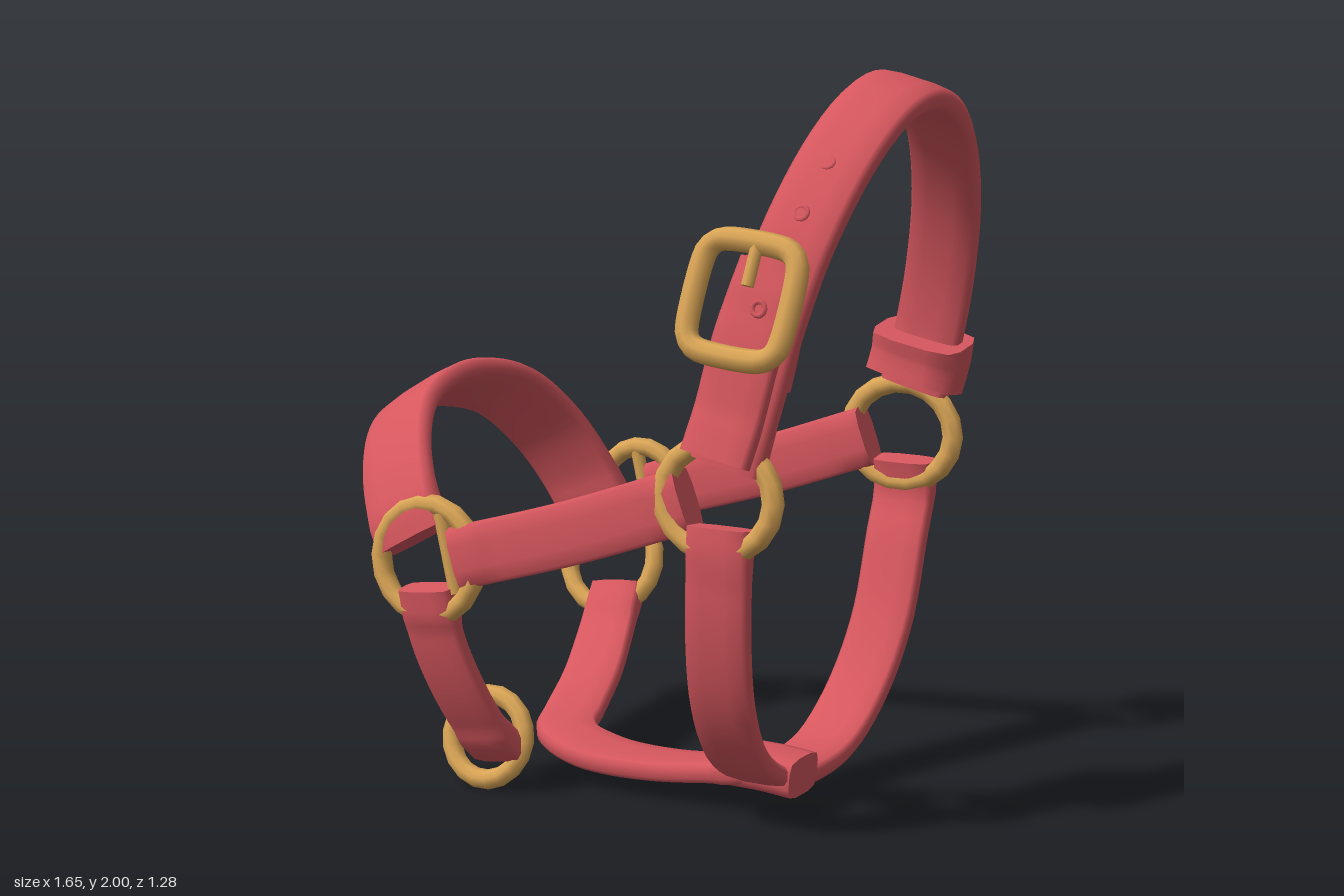
import * as THREE from 'three';

const V = (p) => new THREE.Vector3(...p);

// Soft strap swept along a path: width direction blends from wa to wb, ends are folded thicker
function strapGeometry(points, wa, wb, width, thick, fold = 0.5, steps = 28) {
  const curve = new THREE.CatmullRomCurve3(points.map(V), false, 'centripetal');
  const length = curve.getLength();
  const section = [[0.5, 0.2], [0.44, 0.42], [0.2, 0.5], [-0.2, 0.5], [-0.44, 0.42], [-0.5, 0.2],
    [-0.5, -0.2], [-0.44, -0.42], [-0.2, -0.5], [0.2, -0.5], [0.44, -0.42], [0.5, -0.2]];
  const K = section.length, pos = [], index = [];
  const rows = [];
  for (let i = 0; i <= steps; i++) {
    const u = i / steps;
    const c = curve.getPointAt(u), T = curve.getTangentAt(u);
    const W = V(wa).lerp(V(wb), u);
    W.addScaledVector(T, -W.dot(T)).normalize();
    const N = T.clone().cross(W);
    const d = Math.min(u, 1 - u) * length;
    const t = thick * (1 + fold * THREE.MathUtils.smoothstep(0.13 - d, 0, 0.06));
    rows.push(section.map(([a, b]) => c.clone().addScaledVector(W, a * width).addScaledVector(N, b * t)));
  }
  rows.forEach((row) => row.forEach((p) => pos.push(p.x, p.y, p.z)));
  for (let i = 0; i < steps; i++) {
    for (let j = 0; j < K; j++) {
      const a = i * K + j, b = i * K + (j + 1) % K;
      index.push(a, b, a + K, b, b + K, a + K);
    }
  }
  // flat end caps
  for (const end of [0, steps]) {
    const base = pos.length / 3;
    rows[end].forEach((p) => pos.push(p.x, p.y, p.z));
    for (let j = 1; j < K - 1; j++) {
      if (end) index.push(base, base + j, base + j + 1);
      else index.push(base, base + j + 1, base + j);
    }
  }
  const g = new THREE.BufferGeometry();
  g.setAttribute('position', new THREE.Float32BufferAttribute(pos, 3));
  g.setIndex(index);
  g.computeVertexNormals();
  return g;
}

export function createModel() {
  const model = new THREE.Group();
  model.name = 'halter';
  const red = new THREE.MeshStandardMaterial({ name: 'red webbing', color: 0xd6575e });
  const gold = new THREE.MeshStandardMaterial({ name: 'brass', color: 0xdaa556 });

  const add = (name, geometry, material, parent = model) => {
    const m = new THREE.Mesh(geometry, material);
    m.name = name;
    parent.add(m);
    return m;
  };
  const strap = (name, ...args) => add(name, strapGeometry(...args), red);
  const ring = (name, p, radius, rx = 0, stretch = 1) => {
    const m = add(name, new THREE.TorusGeometry(radius, 0.028, 8, 18), gold);
    m.position.set(...p);
    m.rotation.x = rx;
    m.scale.x = stretch;
  };

  // Crown strap, an arch leaning towards +x
  const lean = (y) => 0.5 + 0.25 * (y - 1.05);
  const across = [0.97, -0.25, 0];
  const arch = [[1.02, 0.53], [1.2, 0.515], [1.4, 0.49], [1.6, 0.43], [1.8, 0.295], [1.908, 0.15], [1.942, 0],
    [1.908, -0.15], [1.805, -0.3], [1.62, -0.44], [1.4, -0.525], [1.2, -0.555], [1.07, -0.55]];
  strap('crownStrap', arch.map(([y, z]) => [lean(y), y, z]), across, across, 0.2, 0.07, 0.2, 48);
  strap('crownTail', [[0.5, 1.05, 0.61], [0.52, 1.15, 0.58], [0.56, 1.35, 0.545], [0.6, 1.53, 0.48]],
    across, across, 0.19, 0.05, 0.2);
  strap('buckleFold', [[0.54, 1.23, 0.475], [0.57, 1.38, 0.46], [0.6, 1.53, 0.445]], across, across, 0.19, 0.07, 0.2);
  strap('crownKeeper', [[0.505, 1.09, -0.545], [0.515, 1.13, -0.55], [0.525, 1.17, -0.55], [0.535, 1.22, -0.54]],
    across, across, 0.27, 0.18, 0.05);

  // Raised rims of the punched holes along the front of the crown
  for (const [y, z, nz, ny] of [[1.66, 0.435, 0.85, 0.5], [1.78, 0.352, 0.72, 0.7], [1.89, 0.225, 0.5, 0.87], [1.43, 0.55, 0.98, 0.2]]) {
    const rim = add('strapHoleRim', new THREE.TorusGeometry(0.018, 0.007, 6, 10), red);
    rim.position.set(lean(y) - 0.005, y, z);
    rim.lookAt(rim.position.x, y + ny, z + nz);
  }

  // Buckle: rounded square frame with a prong
  const buckle = new THREE.Group();
  buckle.name = 'buckle';
  const w = 0.135, h = 0.145, r = 0.06;
  const corners = [];
  for (const [sx, sy, a] of [[1, 1, 0], [-1, 1, 1], [-1, -1, 2], [1, -1, 3]]) {
    for (let k = 0; k <= 3; k++) {
      const t = (a + k / 3) * Math.PI / 2;
      corners.push(new THREE.Vector3(sx * (w - r) + r * Math.cos(t), sy * (h - r) + r * Math.sin(t), 0));
    }
  }
  const frame = new THREE.CatmullRomCurve3(corners, true, 'centripetal');
  add('buckleFrame', new THREE.TubeGeometry(frame, 48, 0.031, 8, true), gold, buckle);
  const prong = add('buckleProng', new THREE.CylinderGeometry(0.017, 0.017, 0.11, 8), gold, buckle);
  prong.position.set(0.012, 0.09, 0.01);
  buckle.position.set(0.545, 1.45, 0.555);
  buckle.rotation.set(-0.31, 0, -0.1);
  model.add(buckle);

  // Nose band over the top
  strap('noseBand', [[-0.48, 0.72, 0.51], [-0.53, 0.81, 0.49], [-0.61, 0.92, 0.4], [-0.68, 1.01, 0.26], [-0.715, 1.05, 0.08],
    [-0.715, 1.05, -0.08], [-0.68, 1.0, -0.26], [-0.62, 0.87, -0.4], [-0.55, 0.71, -0.48], [-0.51, 0.61, -0.51]],
  [0.84, 0.5, 0], [0.84, 0.5, 0], 0.24, 0.065, 0.3, 44);

  // Cheek straps, one each side
  for (const [name, z] of [['frontCheekStrap', 0.515], ['backCheekStrap', -0.535]]) {
    strap(name, [[-0.33, 0.69, z], [0.02, 0.795, z], [0.37, 0.92, z]], [-0.3, 0.95, 0], [-0.3, 0.95, 0], 0.17, 0.06, 0.5);
  }

  // Throat strap hanging from the cheek rings
  strap('throatStrap', [[0.475, 0.86, 0.53], [0.475, 0.75, 0.54], [0.46, 0.55, 0.515], [0.44, 0.36, 0.45], [0.42, 0.2, 0.33],
    [0.415, 0.11, 0.17], [0.42, 0.09, 0], [0.43, 0.12, -0.17], [0.45, 0.24, -0.32], [0.47, 0.42, -0.43],
    [0.475, 0.65, -0.51], [0.475, 0.78, -0.56], [0.475, 0.86, -0.55]], [1, 0, 0], [1, 0, 0], 0.18, 0.06, 0.4, 48);

  // Chin straps: the back one turns under the jaw and runs to a loop around the throat strap
  strap('frontChinStrap', [[-0.425, 0.6, 0.53], [-0.41, 0.46, 0.51], [-0.375, 0.3, 0.455], [-0.345, 0.17, 0.38], [-0.335, 0.11, 0.32]],
    [1, 0.1, 0], [1, 0.1, 0], 0.165, 0.06, 0.4);
  strap('backChinStrap', [[-0.42, 0.4, -0.47], [-0.41, 0.32, -0.4], [-0.37, 0.2, -0.24], [-0.325, 0.13, -0.06], [-0.285, 0.11, 0.05],
    [-0.2, 0.1, 0.125], [-0.08, 0.083, 0.145], [0.1, 0.08, 0.14], [0.28, 0.1, 0.135], [0.38, 0.12, 0.13]],
  [1, 0.1, 0], [0, 0, -1], 0.17, 0.06, 0.3, 48);
  strap('throatLoop', [[0.32, 0.12, 0.13], [0.42, 0.118, 0.13], [0.51, 0.11, 0.13]], [0, 0, 1], [0, 0, 1], 0.165, 0.11, 0);

  // Brass rings joining the straps
  ring('frontCheekRing', [0.468, 0.935, 0.535], 0.142, -0.08, 1.12);
  ring('backCheekRing', [0.468, 0.935, -0.545], 0.142, -0.04, 1.12);
  ring('frontNoseRing', [-0.425, 0.675, 0.525], 0.153, -0.06);
  ring('backNoseRing', [-0.37, 0.69, -0.52], 0.13, -0.05);
  ring('backChinRing', [-0.455, 0.475, -0.49], 0.145, -0.35);
  ring('leadRing', [-0.38, 0.135, 0.31], 0.118, -0.28);

  // Straight bars inside the nose rings, holding the cheek straps
  for (const z of [0.525, -0.52]) {
    const bar = add('noseRingBar', new THREE.CylinderGeometry(0.02, 0.02, 0.22, 8), gold);
    bar.position.set(-0.36, 0.7, z);
    bar.rotation.z = 0.22;
  }

  return model;
}
